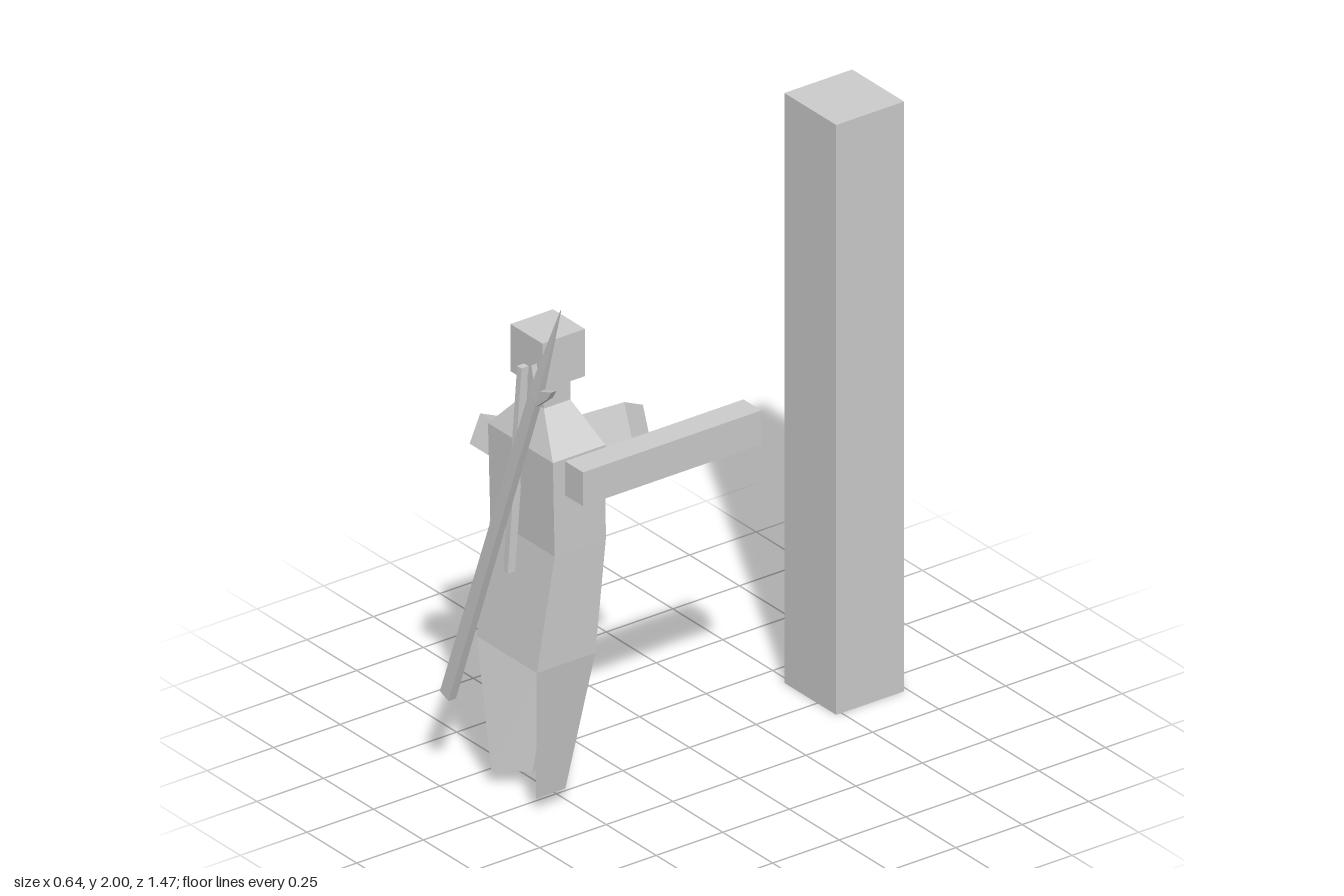
import * as THREE from 'three';

const material = new THREE.MeshStandardMaterial({ color: 0xcccccc, flatShading: true, side: THREE.DoubleSide });

function add(parent, name, geometry) {
  const mesh = new THREE.Mesh(geometry, material);
  mesh.name = name;
  parent.add(mesh);
  return mesh;
}

// Box given by its min and max along each axis
function block(parent, name, x0, x1, y0, y1, z0, z1) {
  const mesh = add(parent, name, new THREE.BoxGeometry(x1 - x0, y1 - y0, z1 - z0));
  mesh.position.set((x0 + x1) / 2, (y0 + y1) / 2, (z0 + z1) / 2);
  return mesh;
}

// Box spanned by three edge vectors from one corner
function skewBlock(parent, name, corner, a, b, c) {
  const [A, B, C] = [a, b, c].map(v => new THREE.Vector3(...v));
  const geometry = new THREE.BoxGeometry(1, 1, 1).translate(0.5, 0.5, 0.5);
  geometry.applyMatrix4(new THREE.Matrix4().makeBasis(A, B, C).setPosition(...corner));
  geometry.computeVertexNormals();
  return add(parent, name, geometry);
}

// Four-cornered loft; each section is { y, c: [[x, z] x 4] } from bottom to top,
// corners running front -x, front +x, back +x, back -x
function loft(sections) {
  const out = [];
  const point = (s, i) => [s.c[i % 4][0], s.y, s.c[i % 4][1]];
  const quad = (a, b, c, d) => out.push(...a, ...b, ...c, ...a, ...c, ...d);
  for (let k = 0; k < sections.length - 1; k++) {
    const lo = sections[k], hi = sections[k + 1];
    for (let i = 0; i < 4; i++) quad(point(lo, i), point(lo, i + 1), point(hi, i + 1), point(hi, i));
  }
  const bottom = sections[0], top = sections[sections.length - 1];
  quad(...[3, 2, 1, 0].map(i => point(bottom, i)));
  quad(...[0, 1, 2, 3].map(i => point(top, i)));
  const geometry = new THREE.BufferGeometry();
  geometry.setAttribute('position', new THREE.Float32BufferAttribute(out, 3));
  geometry.computeVertexNormals();
  return geometry;
}

const rect = (y, x0, x1, z0, z1) => ({ y, c: [[x0, z1], [x1, z1], [x1, z0], [x0, z0]] });

export function createModel() {
  const model = new THREE.Group();
  model.name = 'guardAndPillar';

  block(model, 'pillar', -0.165, 0.095, 0, 2, -0.735, -0.48);

  const figure = new THREE.Group();
  figure.name = 'figure';
  model.add(figure);
  block(figure, 'head', -0.11, 0.05, 1.415, 1.575, 0.43, 0.59);
  block(figure, 'neck', -0.075, 0.03, 1.34, 1.415, 0.47, 0.57);

  // Torso with sloped shoulders and a flared lower front
  add(figure, 'torso', loft([
    rect(0.52, -0.165, 0.135, 0.455, 0.675),
    rect(0.9, -0.178, 0.145, 0.423, 0.615),
    rect(1.22, -0.18, 0.145, 0.425, 0.622),
    rect(1.34, -0.075, 0.03, 0.47, 0.57),
  ]));

  // Wedge legs: wide outer side, narrow inner side set toward the back
  add(figure, 'leftLeg', loft([
    { y: 0.05, c: [[-0.03, 0.54], [0.065, 0.625], [0.065, 0.515], [-0.03, 0.51]] },
    { y: 0.52, c: [[-0.02, 0.5], [0.135, 0.675], [0.135, 0.455], [-0.02, 0.455]] },
  ]));
  add(figure, 'rightLeg', loft([
    { y: 0.05, c: [[-0.16, 0.625], [-0.08, 0.53], [-0.08, 0.505], [-0.16, 0.51]] },
    { y: 0.52, c: [[-0.165, 0.675], [-0.018, 0.49], [-0.018, 0.455], [-0.165, 0.455]] },
  ]));

  // Left arm reaches straight back; right arm bends behind the body
  block(figure, 'leftArm', 0.15, 0.24, 1.1, 1.215, -0.09, 0.58);
  skewBlock(figure, 'rightUpperArm', [-0.275, 0.97, 0.3], [0.113, 0, 0], [0, 0.09, -0.04], [0, 0.14, 0.32]);
  skewBlock(figure, 'rightForearm', [-0.25, 0.925, 0.29], [0.225, 0.13, -0.165], [-0.075, 0.097, -0.025], [0.04, 0.057, 0.1]);

  // Thin slanted bar down the chest
  add(figure, 'chestBar', loft([
    rect(0.79, -0.042, -0.02, 0.64, 0.668),
    rect(1.47, -0.042, -0.02, 0.588, 0.616),
  ]));

  // Spear, built upright and tilted across the front
  const spear = new THREE.Group();
  spear.name = 'spear';
  spear.position.set(-0.25, 0.3, 0.72);
  spear.rotation.z = -0.352;
  model.add(spear);
  const shaftLength = 1.27, spearLength = 1.64;
  add(spear, 'spearShaft', loft([
    rect(0, -0.023, 0.023, -0.014, 0.014),
    rect(shaftLength, -0.02, 0.02, -0.012, 0.012),
  ]));
  add(spear, 'spearPoint', loft([
    rect(shaftLength, -0.022, 0.022, -0.013, 0.013),
    rect(spearLength, -0.001, 0.001, -0.001, 0.001),
  ]));
  const barbs = new THREE.Shape([
    [-0.02, 1.25], [0.02, 1.25], [0.06, 1.32], [0.068, 1.356],
    [0, 1.3], [-0.043, 1.37], [-0.048, 1.325],
  ].map(([x, y]) => new THREE.Vector2(x, y)));
  add(spear, 'spearBarbs', new THREE.ExtrudeGeometry(barbs, { depth: 0.02, bevelEnabled: false }).translate(0, 0, -0.01));

  return model;
}
